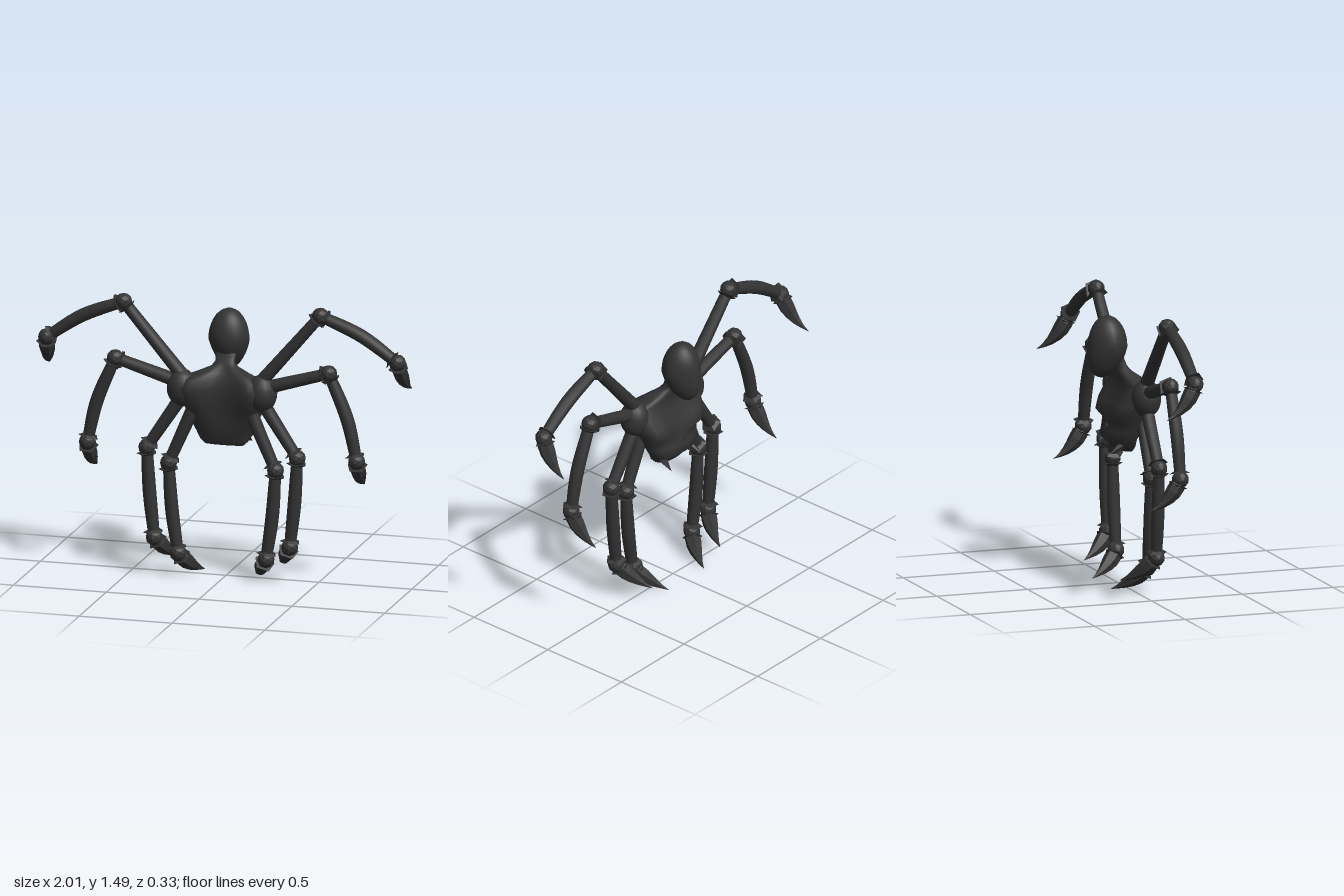
import * as THREE from 'three';
import { mergeVertices } from 'three/addons/utils/BufferGeometryUtils.js';

const smooth = new THREE.MeshStandardMaterial({ color: 0x333333, side: THREE.DoubleSide });
const faceted = new THREE.MeshStandardMaterial({ color: 0x333333, side: THREE.DoubleSide, flatShading: true });
const LEG_Z = 0.075;
const UP = new THREE.Vector3(0, 1, 0);

function addMesh(parent, name, geometry, material = smooth) {
  const mesh = new THREE.Mesh(geometry, material);
  mesh.name = name;
  parent.add(mesh);
  return mesh;
}

// Weld shared corners so normals run across seams
function weld(geometry) {
  geometry.deleteAttribute('uv');
  geometry.deleteAttribute('normal');
  const welded = mergeVertices(geometry, 1e-5);
  welded.computeVertexNormals();
  return welded;
}

// Tube whose radius follows radiusAt(t)
function taperedTube(curve, segments, sides, radiusAt) {
  const geometry = new THREE.TubeGeometry(curve, segments, 1, sides);
  const pos = geometry.attributes.position;
  const v = new THREE.Vector3();
  for (let i = 0; i <= segments; i++) {
    const centre = curve.getPointAt(i / segments);
    for (let j = 0; j <= sides; j++) {
      const k = i * (sides + 1) + j;
      v.fromBufferAttribute(pos, k).sub(centre).multiplyScalar(radiusAt(i / segments)).add(centre);
      pos.setXYZ(k, v.x, v.y, v.z);
    }
  }
  return weld(geometry);
}

// Torso: rings of [y, half width, front z, lobe depth, back z, back lobe]
function torsoGeometry() {
  const rings = [
    [0.72, 0.105, 0.055, 0, -0.02, 0],
    [0.745, 0.13, 0.07, 0, -0.035, 0.01],
    [0.785, 0.155, 0.08, 0, -0.085, 0],
    [0.83, 0.175, 0.09, 0.01, -0.07, 0],
    [0.87, 0.19, 0.09, 0.02, -0.06, 0],
    [0.91, 0.21, 0.095, 0.035, -0.06, 0.035],
    [0.965, 0.235, 0.1, 0.055, -0.04, 0.03],
    [1.025, 0.25, 0.1, 0.07, -0.01, 0.015],
    [1.075, 0.22, 0.09, 0.06, -0.005, 0],
    [1.105, 0.14, 0.07, 0.035, -0.015, 0],
    [1.135, 0.07, 0.05, 0.01, -0.02, 0],
    [1.16, 0.052, 0.04, 0, -0.03, 0],
    [1.21, 0.055, 0.02, 0, -0.06, 0],
  ];
  const sides = 28, pos = [], index = [];
  for (const [y, w, front, lobe, back, backLobe] of rings) {
    const mid = (front + back) / 2 + 0.015;
    for (let j = 0; j < sides; j++) {
      const a = (j / sides) * Math.PI * 2, s = Math.sin(a);
      const bump = Math.sin(2 * a) ** 2;
      const reach = Math.abs(s) ** 0.8;
      const z = s >= 0 ? mid + (front - mid) * reach + lobe * bump
        : mid + (back - mid) * reach - backLobe * bump;
      pos.push(w * Math.cos(a), y, z);
    }
  }
  for (let i = 0; i < rings.length - 1; i++) {
    for (let j = 0; j < sides; j++) {
      const a = i * sides + j, b = i * sides + (j + 1) % sides;
      index.push(a, a + sides, b, b, a + sides, b + sides);
    }
  }
  // Underside cap
  pos.push(0, 0.72, 0.015);
  for (let j = 0; j < sides; j++) index.push(pos.length / 3 - 1, j, (j + 1) % sides);
  const geometry = new THREE.BufferGeometry();
  geometry.setAttribute('position', new THREE.Float32BufferAttribute(pos, 3));
  geometry.setIndex(index);
  geometry.computeVertexNormals();
  return geometry;
}

// Egg-shaped head, narrowing to the chin and to a ridge down the face (-z)
function headGeometry() {
  const geometry = new THREE.SphereGeometry(1, 24, 18);
  const pos = geometry.attributes.position;
  for (let i = 0; i < pos.count; i++) {
    const x = pos.getX(i), y = pos.getY(i), z = pos.getZ(i);
    const low = Math.max(0, -y);
    pos.setXYZ(i, x * 0.109 * (1 - 0.28 * low) * (1 - 0.2 * Math.max(0, -z)),
      1.262 + y * 0.162, -0.06 + z * 0.104 - 0.03 * low);
  }
  return weld(geometry);
}

// Joint: knob with thin pointed flanges facing along both limb directions
function addJoint(parent, name, at, directions) {
  const joint = new THREE.Group();
  joint.name = name;
  joint.position.copy(at);
  addMesh(joint, 'knob', new THREE.IcosahedronGeometry(0.045, 1), faceted);
  for (const dir of directions) {
    const flange = addMesh(joint, 'flange', new THREE.ConeGeometry(0.056, 0.03, 5), faceted);
    flange.quaternion.setFromUnitVectors(UP, dir);
    flange.position.copy(dir).multiplyScalar(0.045);
  }
  parent.add(joint);
}

// Leg points in x, y: hip, knee, shin middle, ankle, claw tip
const LEGS = {
  topLeg: [[0.21, 1.08], [0.53, 1.455], [0.75, 1.365], [0.945, 1.235], [0.975, 1.06]],
  upperLeg: [[0.22, 1.045], [0.575, 1.15], [0.675, 0.91], [0.725, 0.69], [0.72, 0.53]],
  lowerLeg: [[0.23, 0.95], [0.405, 0.685], [0.39, 0.44], [0.365, 0.205], [0.27, 0.08]],
  bottomLeg: [[0.16, 0.9], [0.288, 0.61], [0.27, 0.36], [0.237, 0.13], [0.14, 0.01]],
};

function createLeg(name, points, side) {
  const leg = new THREE.Group();
  leg.name = name;
  const [hip, knee, shin, ankle, tip] = points.map(([x, y], i) =>
    new THREE.Vector3(x * side, y, i === 4 ? -0.09 : LEG_Z));
  const toward = (a, b) => b.clone().sub(a).normalize();

  addMesh(leg, 'thigh', taperedTube(new THREE.LineCurve3(hip, knee), 6, 10,
    t => 0.036 - 0.006 * t));
  addMesh(leg, 'shin', taperedTube(new THREE.CatmullRomCurve3([knee, shin, ankle]), 12, 10,
    t => 0.029 + 0.006 * Math.sin(Math.PI * t)));
  addJoint(leg, 'knee', knee, [toward(knee, hip), toward(knee, shin)]);

  // Claw hooks down and toward the back
  const bend = new THREE.Vector3().lerpVectors(ankle, tip, 0.5);
  bend.y = tip.y + 0.04;
  bend.z = 0.02;
  addJoint(leg, 'ankle', ankle, [toward(ankle, shin), toward(ankle, bend)]);
  const claw = new THREE.QuadraticBezierCurve3(ankle, bend, tip);
  const radii = [0.026, 0.043, 0.042, 0.034, 0.023, 0.011, 0.001];
  addMesh(leg, 'claw', taperedTube(claw, 6, 6, t => radii[Math.round(t * 6)]), faceted);
  return leg;
}

export function createModel() {
  const model = new THREE.Group();
  model.name = 'spiderFigure';
  addMesh(model, 'torso', torsoGeometry());
  addMesh(model, 'head', headGeometry());

  // Small round mouth and navel
  const mouth = addMesh(model, 'mouth', new THREE.TorusGeometry(0.018, 0.006, 6, 14));
  mouth.position.set(0, 1.21, -0.159);
  mouth.rotation.x = 0.15;
  addMesh(model, 'navel', new THREE.TorusGeometry(0.014, 0.005, 6, 14)).position.set(0, 0.84, -0.066);

  for (const side of [1, -1]) {
    const label = side > 0 ? 'left' : 'right';
    // Rounded shoulder
    const shoulder = addMesh(model, label + 'Shoulder', new THREE.SphereGeometry(1, 18, 12));
    shoulder.scale.set(0.08, 0.1, 0.078);
    shoulder.position.set(side * 0.215, 1.018, 0.075);
    // Hip spike
    const spike = addMesh(model, label + 'HipSpike', new THREE.ConeGeometry(0.024, 0.09, 5), faceted);
    spike.position.set(side * 0.11, 0.737, -0.052);
    spike.quaternion.setFromUnitVectors(UP, new THREE.Vector3(side * 0.15, -0.5, -0.85).normalize());

    for (const [name, points] of Object.entries(LEGS)) {
      model.add(createLeg(label + name[0].toUpperCase() + name.slice(1), points, side));
    }
  }
  return model;
}
